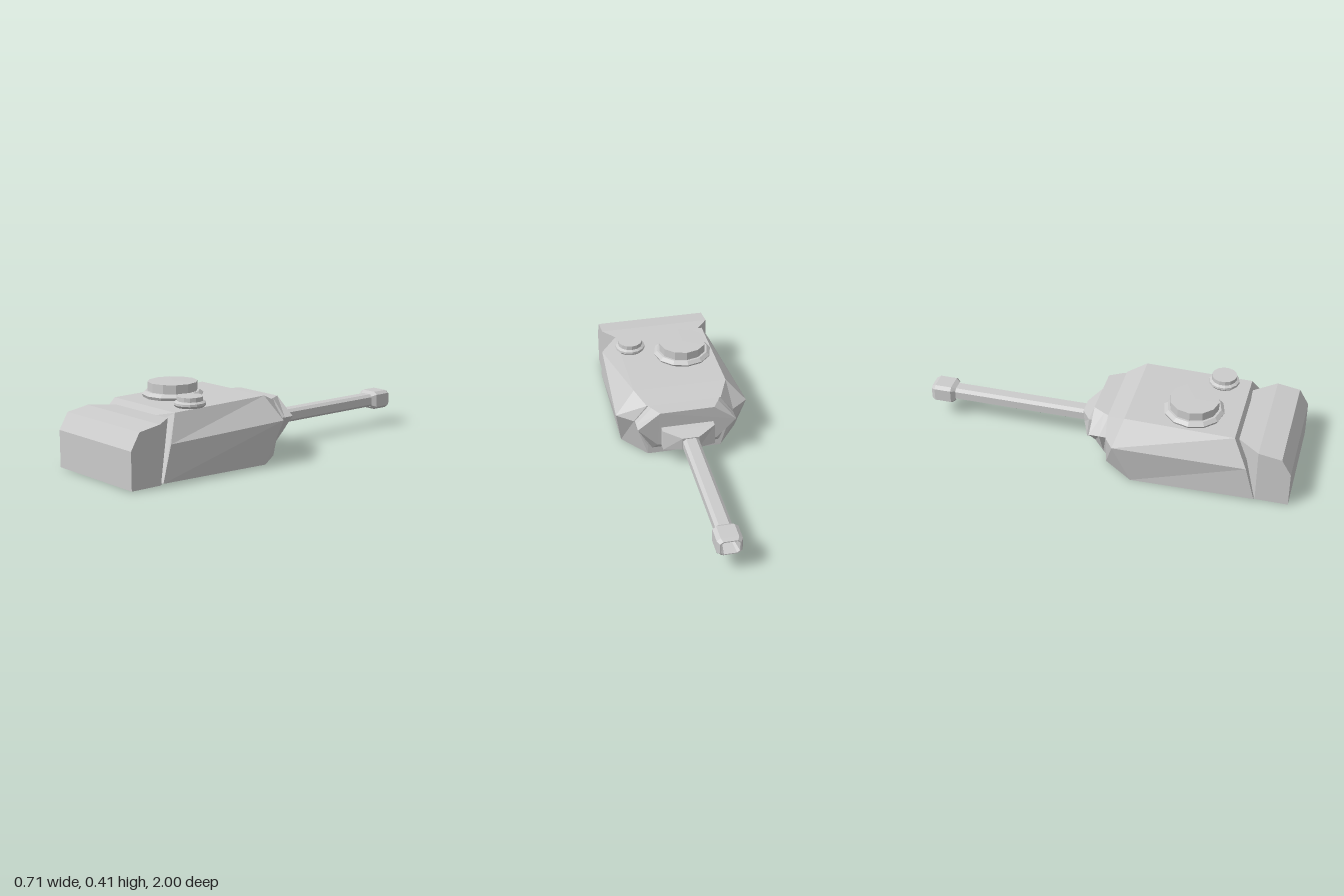
import * as THREE from 'three';

const material = new THREE.MeshStandardMaterial({ color: 0xcccccc, flatShading: true });

// Loft through symmetric rings, ordered from +z to -z.
// Each ring lists its +x points [x, y, z] from top to bottom; the -x half is mirrored.
function loft(name, halves, capStart = true, capEnd = true) {
  const rings = halves.map(h => [...h, ...[...h].reverse().map(([x, y, z]) => [-x, y, z])]);
  const n = rings[0].length;
  const pos = [];
  const tri = (a, b, c) => pos.push(...a, ...b, ...c);
  for (let r = 0; r < rings.length - 1; r++) {
    for (let i = 0; i < n; i++) {
      const j = (i + 1) % n;
      const a = rings[r][i], b = rings[r][j], c = rings[r + 1][i], d = rings[r + 1][j];
      tri(a, b, c);
      tri(b, d, c);
    }
  }
  const first = rings[0], last = rings[rings.length - 1];
  for (let i = 1; i < n - 1; i++) {
    if (capStart) tri(first[0], first[i + 1], first[i]);
    if (capEnd) tri(last[0], last[i], last[i + 1]);
  }
  const geometry = new THREE.BufferGeometry();
  geometry.setAttribute('position', new THREE.Float32BufferAttribute(pos, 3));
  geometry.computeVertexNormals();
  const mesh = new THREE.Mesh(geometry, material);
  mesh.name = name;
  return mesh;
}

// Chamfered rectangular half ring around the gun axis
const GUN_Y = 0.147;
const gunRing = (w, h, z, k = 0.6) => [
  [w * k, GUN_Y + h, z], [w, GUN_Y + h * k, z], [w, GUN_Y - h * k, z], [w * k, GUN_Y - h, z],
];

// Faceted round hatch turned from a profile of [radius, y]
function hatch(name, x, z, segments, profile) {
  const geometry = new THREE.LatheGeometry(profile.map(p => new THREE.Vector2(...p)), segments);
  const mesh = new THREE.Mesh(geometry, material);
  mesh.position.set(x, 0, z);
  mesh.name = name;
  return mesh;
}

export function createModel() {
  const model = new THREE.Group();
  model.name = 'turret';

  // Main armoured shell, widest along its side ridge
  model.add(loft('turretBody', [
    [[0.25, 0.33, 0.70], [0.316, 0.197, 0.775], [0.318, 0.013, 0.825]],
    [[0.25, 0.34, 0.13], [0.356, 0.222, 0.09], [0.318, 0, 0.18]],
    [[0.20, 0.30, 0.03], [0.27, 0.21, 0.035], [0.20, 0, 0.02]],
  ]));

  // Stowage box with a neck tapering into the shell
  const boxRing = (x, top, z) => [[x, top, z], [x, 0.003, z]];
  model.add(loft('rearBox', [
    boxRing(0.304, 0.195, 1.0),
    boxRing(0.304, 0.28, 0.95),
    boxRing(0.304, 0.30, 0.83),
    [[0.20, 0.30, 0.70], [0.20, 0.02, 0.70]],
  ]));

  // Gun shield plate
  model.add(loft('gunShield', [
    [[0.195, 0.30, 0.035], [0.265, 0.21, 0.035], [0.20, 0.04, 0.03]],
    [[0.18, 0.30, 0.005], [0.265, 0.21, 0.0], [0.18, 0.05, 0.0]],
    [[0.145, 0.30, -0.055], [0.265, 0.21, -0.055], [0.16, 0.10, -0.05]],
  ]));

  // Tapered collar around the barrel root
  model.add(loft('gunCollar', [
    [[0.14, 0.21, -0.03], [0.14, 0.10, -0.03]],
    [[0.14, 0.21, -0.088], [0.14, 0.10, -0.10]],
    [[0.045, 0.187, -0.145], [0.045, 0.115, -0.14]],
  ]));

  model.add(loft('gunBarrel', [
    gunRing(0.043, 0.035, -0.12),
    gunRing(0.043, 0.035, -0.88),
  ], false, false));

  // Hollow muzzle: outer skin, rim, then the bore and its floor
  model.add(loft('muzzle', [
    gunRing(0.045, 0.037, -0.868, 0.7),
    gunRing(0.064, 0.05, -0.89, 0.7),
    gunRing(0.064, 0.05, -0.98, 0.7),
    gunRing(0.052, 0.04, -1.0, 0.7),
    gunRing(0.046, 0.035, -1.0, 0.7),
    gunRing(0.03, 0.025, -0.9, 0.7),
  ], false, true));

  // Roof hatches
  model.add(hatch('commanderHatch', -0.083, 0.457, 12, [
    [0, 0.33], [0.15, 0.33], [0.158, 0.347], [0.14, 0.363],
    [0.128, 0.363], [0.128, 0.409], [0, 0.411],
  ]));
  model.add(hatch('loaderHatch', 0.19, 0.56, 14, [
    [0, 0.33], [0.07, 0.333], [0.081, 0.345], [0.08, 0.356],
    [0.066, 0.364], [0.066, 0.386], [0, 0.386],
  ]));

  return model;
}
